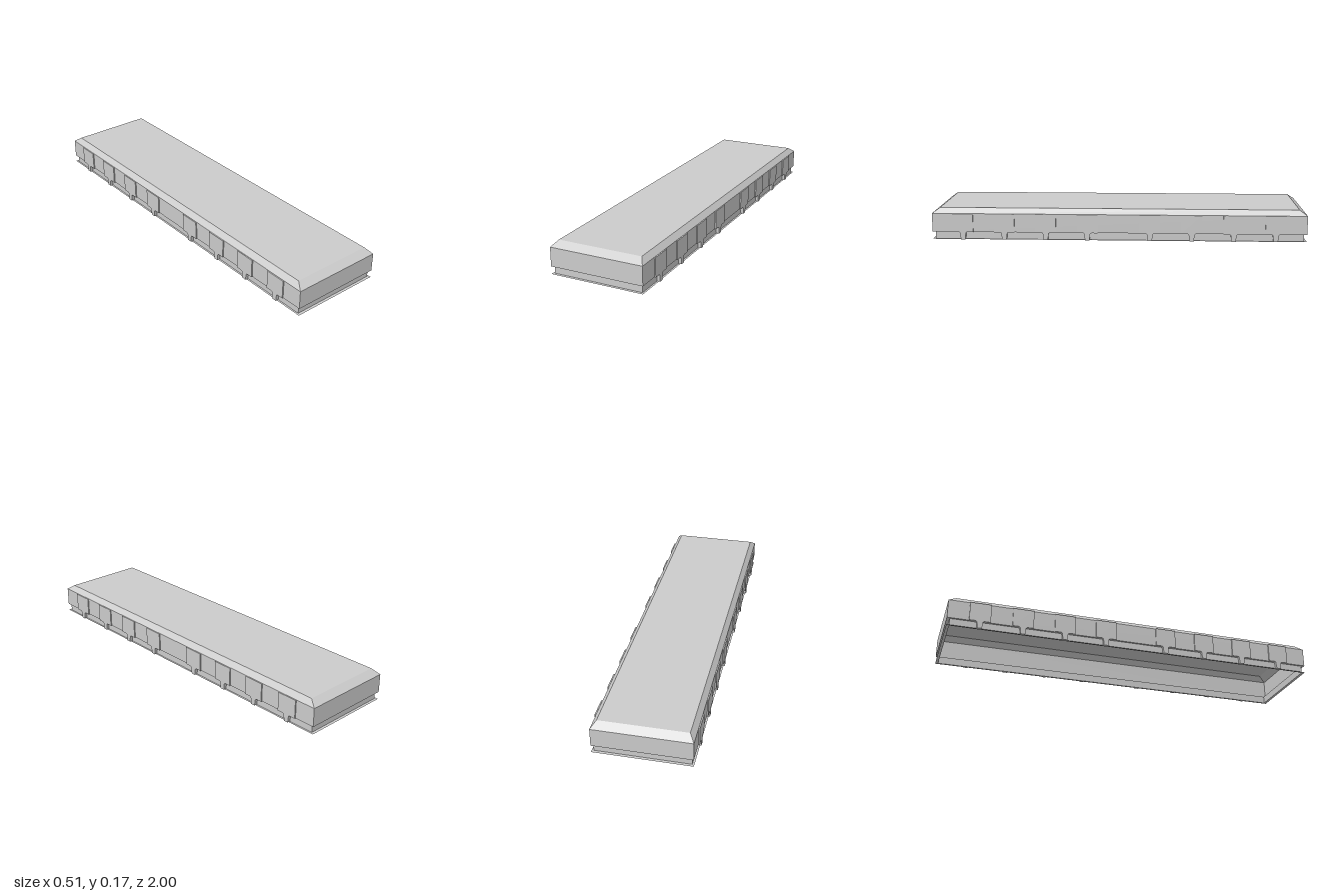
import * as THREE from 'three';

const solid = new THREE.MeshStandardMaterial({ color: 0xcccccc, flatShading: true });
const sheet = new THREE.MeshStandardMaterial({ color: 0xcccccc, flatShading: true, side: THREE.DoubleSide });

// Skin a list of rectangular rings [halfWidth, halfLength, y], bottom to top
function loftRings(rings) {
  const corner = ([x, z, y], i) => {
    const [sx, sz] = [[1, 1], [1, -1], [-1, -1], [-1, 1]][i % 4];
    return [x * sx, y, z * sz];
  };
  const pos = [];
  for (let r = 0; r < rings.length - 1; r++) {
    for (let i = 0; i < 4; i++) {
      const a = corner(rings[r], i), b = corner(rings[r], i + 1);
      const c = corner(rings[r + 1], i + 1), d = corner(rings[r + 1], i);
      pos.push(...a, ...b, ...c, ...a, ...c, ...d);
    }
  }
  const geometry = new THREE.BufferGeometry();
  geometry.setAttribute('position', new THREE.Float32BufferAttribute(pos, 3));
  geometry.computeVertexNormals();
  return geometry;
}

// Narrow leg with small fillets where it meets the wall above
function legGeometry() {
  const s = new THREE.Shape();
  s.moveTo(-0.024, 0.04);
  s.quadraticCurveTo(-0.016, 0.04, -0.015, 0.031);
  s.lineTo(-0.012, 0);
  s.lineTo(0.012, 0);
  s.lineTo(0.015, 0.031);
  s.quadraticCurveTo(0.016, 0.04, 0.024, 0.04);
  s.closePath();
  return new THREE.ExtrudeGeometry(s, { depth: 0.0165, bevelEnabled: false, curveSegments: 4 })
    .rotateY(Math.PI / 2);
}

export function createModel() {
  const group = new THREE.Group();

  // Thin hollow lid: flat rim, recessed skirt, wall, chamfer, top
  const shell = new THREE.Mesh(loftRings([
    [0.25, 1, 0],
    [0.24, 0.985, 0],
    [0.24, 0.985, 0.04],
    [0.25, 1, 0.04],
    [0.25, 1, 0.14],
    [0.225, 0.96, 0.168],
    [0, 0, 0.168],
  ]), sheet);
  shell.name = 'lidShell';
  group.add(shell);

  // Eight clips along each long side, each a pad with a leg below
  const padShape = new THREE.BoxGeometry(0.0065, 0.1, 0.11);
  const legShape = legGeometry();
  for (const side of [1, -1]) {
    const row = new THREE.Group();
    row.name = side > 0 ? 'leftClips' : 'rightClips';
    for (const end of [1, -1]) {
      for (let i = 0; i < 4; i++) {
        const z = end * (0.167 + i * 0.2225);
        const pad = new THREE.Mesh(padShape, solid);
        pad.name = 'clipPad';
        pad.position.set(0.25375, 0.09, z);
        const leg = new THREE.Mesh(legShape, solid);
        leg.name = 'clipLeg';
        leg.position.set(0.2405, 0, z);
        row.add(pad, leg);
      }
    }
    if (side < 0) row.rotation.y = Math.PI;
    group.add(row);
  }
  return group;
}
